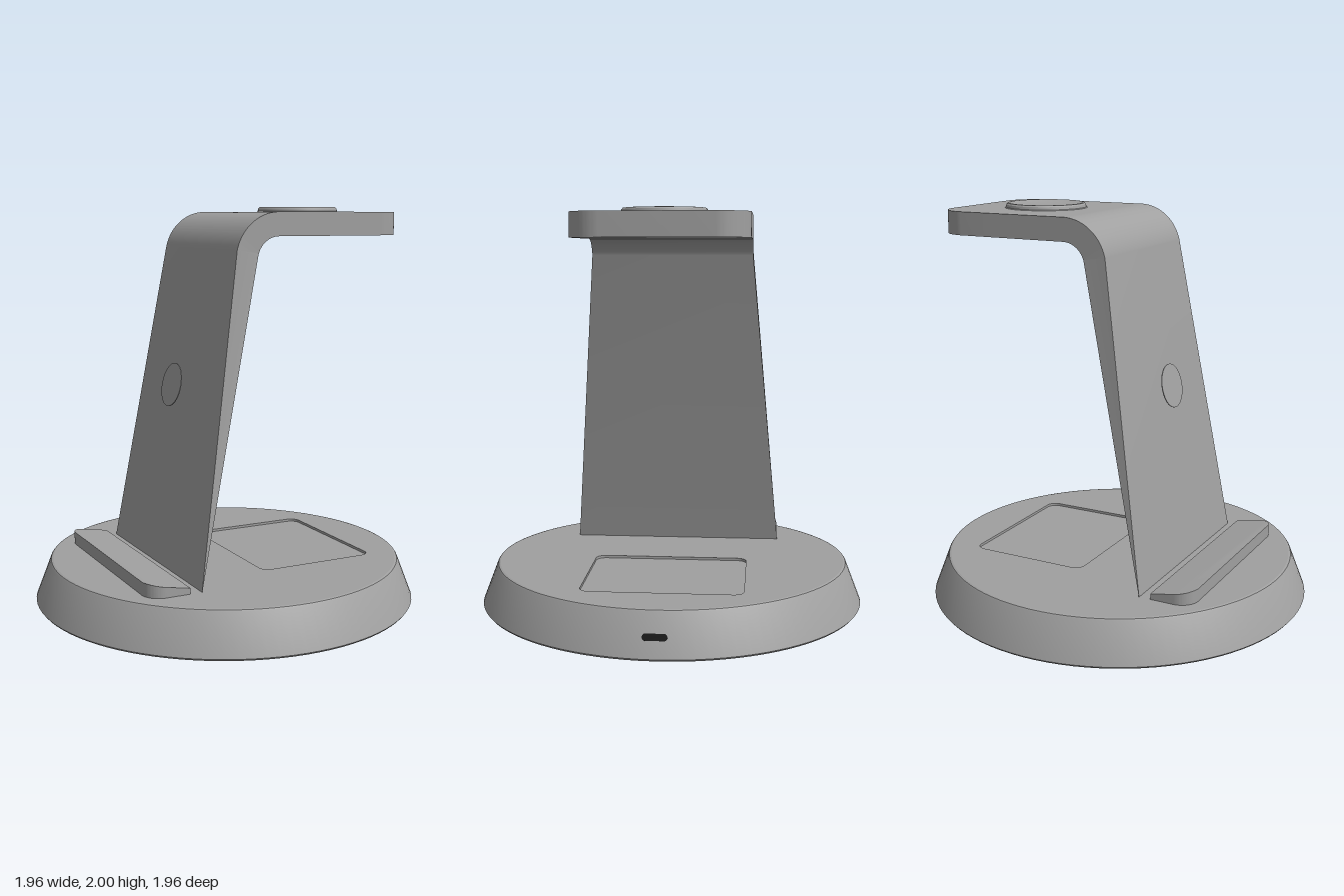
import * as THREE from 'three';
import { toCreasedNormals } from 'three/addons/utils/BufferGeometryUtils.js';

const grey = new THREE.MeshStandardMaterial({ color: 0xa0a0a0 });
grey.name = 'matteGrey';
const black = new THREE.MeshStandardMaterial({ color: 0x050505 });
black.name = 'black';

// Moves every vertex by a rule
function reshape(geo, rule) {
  const p = geo.attributes.position;
  const v = new THREE.Vector3();
  for (let i = 0; i < p.count; i++) {
    rule(v.fromBufferAttribute(p, i));
    p.setXYZ(i, v.x, v.y, v.z);
  }
  return geo;
}

function roundedRect(Type, w, h, r, cy = 0) {
  const s = new Type();
  const x = w / 2 - r, y = h / 2 - r;
  s.absarc(x, cy + y, r, 0, Math.PI / 2);
  s.absarc(-x, cy + y, r, Math.PI / 2, Math.PI);
  s.absarc(-x, cy - y, r, Math.PI, Math.PI * 1.5);
  s.absarc(x, cy - y, r, Math.PI * 1.5, Math.PI * 2);
  s.closePath();
  return s;
}

// Upright extrusion of a plan shape (shape y points to -z)
function slab(shape, y, height) {
  return new THREE.ExtrudeGeometry(shape, { depth: height, bevelEnabled: false, curveSegments: 16 })
    .rotateX(-Math.PI / 2).translate(0, y, 0);
}

// Plan shape with a square near end and two rounded far corners
function tab(half, near, far, r) {
  const s = new THREE.Shape();
  s.moveTo(-half, near);
  s.lineTo(half, near);
  s.absarc(half - r, far - r, r, 0, Math.PI / 2);
  s.absarc(-half + r, far - r, r, Math.PI / 2, Math.PI);
  s.closePath();
  return s;
}

export function createModel() {
  const model = new THREE.Group();
  model.name = 'chargingStand';
  // The stand is turned on its round base
  const stand = new THREE.Group();
  stand.name = 'turnedStand';
  stand.rotation.y = -35 * Math.PI / 180;
  model.add(stand);

  const add = (name, geo, mat = grey) => {
    const mesh = new THREE.Mesh(toCreasedNormals(geo, 0.5), mat);
    mesh.name = name;
    stand.add(mesh);
    return mesh;
  };
  const lathe = (pts, n) => new THREE.LatheGeometry(pts.map(([x, y]) => new THREE.Vector2(x, y)), n);

  // Base: sloped rim, black underside, top plate with a shallow tray
  add('baseRim', lathe([[0.972, 0], [0.98, 0.01], [0.905, 0.205], [0.9, 0.212], [0.89, 0.215]], 96));
  add('baseUnderside', new THREE.CircleGeometry(0.973, 96).rotateX(Math.PI / 2), black);
  const plate = new THREE.Shape();
  plate.absarc(0, 0, 0.89, 0, Math.PI * 2);
  plate.holes.push(roundedRect(THREE.Path, 0.78, 0.63, 0.05, 0.34));
  add('baseTop', new THREE.ExtrudeGeometry(plate, { depth: 0.014, bevelEnabled: false, curveSegments: 48 })
    .rotateX(-Math.PI / 2).translate(0, 0.201, 0));
  add('trayFloor', new THREE.ShapeGeometry(roundedRect(THREE.Shape, 0.79, 0.64, 0.05, 0.34))
    .rotateX(-Math.PI / 2).translate(0, 0.202, 0));

  // Leaning leg that bends into the top shelf, tapering upwards
  const lean = Math.atan(0.235), cx = 0.0876, cy = 1.745;
  const side = new THREE.Shape();
  side.moveTo(-0.512, 0.2);
  side.absarc(cx, cy, 0.23, Math.PI - lean, Math.PI / 2, true);
  side.lineTo(0.5, 1.975);
  side.lineTo(0.5, 1.86);
  side.absarc(cx, cy, 0.115, Math.PI / 2, Math.PI - lean, false);
  side.lineTo(-0.394, 0.2);
  side.closePath();
  const leg = new THREE.ExtrudeGeometry(side, { depth: 1, bevelEnabled: false, curveSegments: 20 })
    .translate(0, 0, -0.5).rotateY(Math.PI / 2);
  add('leg', reshape(leg, (v) => {
    const t = Math.min(1, (v.y - 0.24) / 1.54);
    v.x *= 2 * (0.55 - 0.14 * t);
  }));
  add('topShelf', slab(tab(0.41, 0.5, 0.82, 0.16), 1.86, 0.115));

  // Round dished pad on the shelf
  const pad = add('shelfPad', lathe([[0.212, 1.973], [0.205, 1.979], [0.202, 1.992], [0.195, 1.999],
    [0.185, 2], [0.176, 1.996], [0.14, 1.99], [0.07, 1.985], [0, 1.983]], 64));
  pad.position.z = -0.424;

  // Front ledge, its top sloping down towards the leg
  const ledge = slab(tab(0.55, 0.45, 0.66, 0.09), 0.21, 0.07).rotateY(Math.PI);
  add('frontLedge', reshape(ledge, (v) => {
    if (v.y > 0.25) v.y = 0.28 - Math.max(0, 0.65 - v.z) * 0.18;
  }));

  // Flush round insert on the leg's front face
  const insert = add('legInsert', new THREE.CylinderGeometry(0.11, 0.11, 0.004, 48).rotateX(Math.PI / 2));
  insert.position.set(0, 1.12, 0.2945);
  insert.rotation.x = -lean;

  // Cable socket at the back of the rim
  const socket = add('cableSocket', new THREE.ExtrudeGeometry(
    roundedRect(THREE.Shape, 0.115, 0.032, 0.015), { depth: 0.006, bevelEnabled: false }), black);
  socket.position.set(0, 0.1, -0.942);
  socket.rotation.set(-0.367, Math.PI, 0, 'YXZ');

  return model;
}
